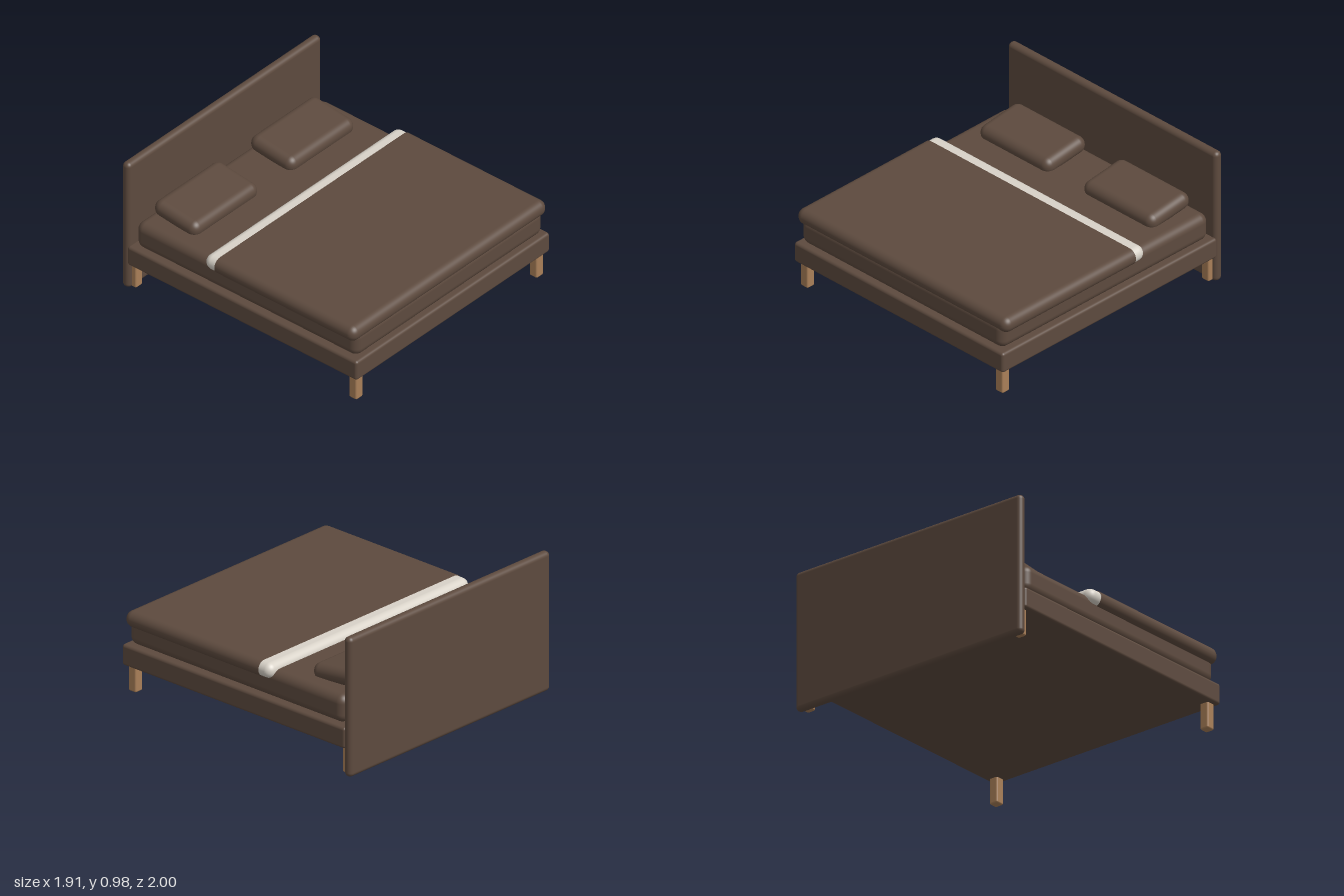
import * as THREE from 'three';
import { RoundedBoxGeometry } from 'three/addons/geometries/RoundedBoxGeometry.js';

export function createModel() {
  const bed = new THREE.Group();
  bed.name = 'bed';

  const brown = new THREE.MeshStandardMaterial({ name: 'brown fabric', color: 0x5d4a3e });
  const cream = new THREE.MeshStandardMaterial({ name: 'cream linen', color: 0xd8d2c8 });
  const wood = new THREE.MeshStandardMaterial({ name: 'oak wood', color: 0xa97f58 });

  // Rounded box given by its [min, max] extent on each axis
  function block(name, material, [x0, x1], [y0, y1], [z0, z1], radius) {
    const geometry = new RoundedBoxGeometry(x1 - x0, y1 - y0, z1 - z0, 5, radius);
    const mesh = new THREE.Mesh(geometry, material);
    mesh.name = name;
    mesh.position.set((x0 + x1) / 2, (y0 + y1) / 2, (z0 + z1) / 2);
    bed.add(mesh);
    return mesh;
  }

  block('headboard', brown, [-0.945, 0.945], [0, 0.98], [-1, -0.935], 0.031);
  block('frame', brown, [-0.946, 0.946], [0.19, 0.338], [-0.95, 1], 0.02);
  block('mattress', brown, [-0.917, 0.917], [0.335, 0.532], [-0.91, 0.975], 0.06);

  // Duvet: rounded at the foot and sides, cut flat where the sheet folds over
  const duvet = block('duvet', brown, [-0.955, 0.955], [0.466, 0.58], [-0.26, 0.98], 0.055);
  const points = duvet.geometry.attributes.position;
  const cut = -0.2 - duvet.position.z;
  for (let i = 0; i < points.count; i++) points.setZ(i, Math.max(points.getZ(i), cut));

  block('sheetFold', cream, [-0.95, 0.95], [0.469, 0.577], [-0.3, -0.1], 0.053);

  for (const side of [1, -1]) {
    const name = side > 0 ? 'left' : 'right';

    // Pillow leaning up towards the headboard
    const pillow = block(name + 'Pillow', brown, [-0.32, 0.32], [0.512, 0.632], [-0.879, -0.505], 0.058);
    pillow.position.x = side * 0.47;
    pillow.rotation.x = 0.12;

    // Legs
    for (const [end, z] of [['Front', 0.938], ['Back', -0.932]]) {
      const leg = block(name + end + 'Leg', wood, [-0.033, 0.033], [0.01, 0.21], [z - 0.033, z + 0.033], 0.012);
      leg.position.x = side * 0.882;
    }
  }
  return bed;
}
